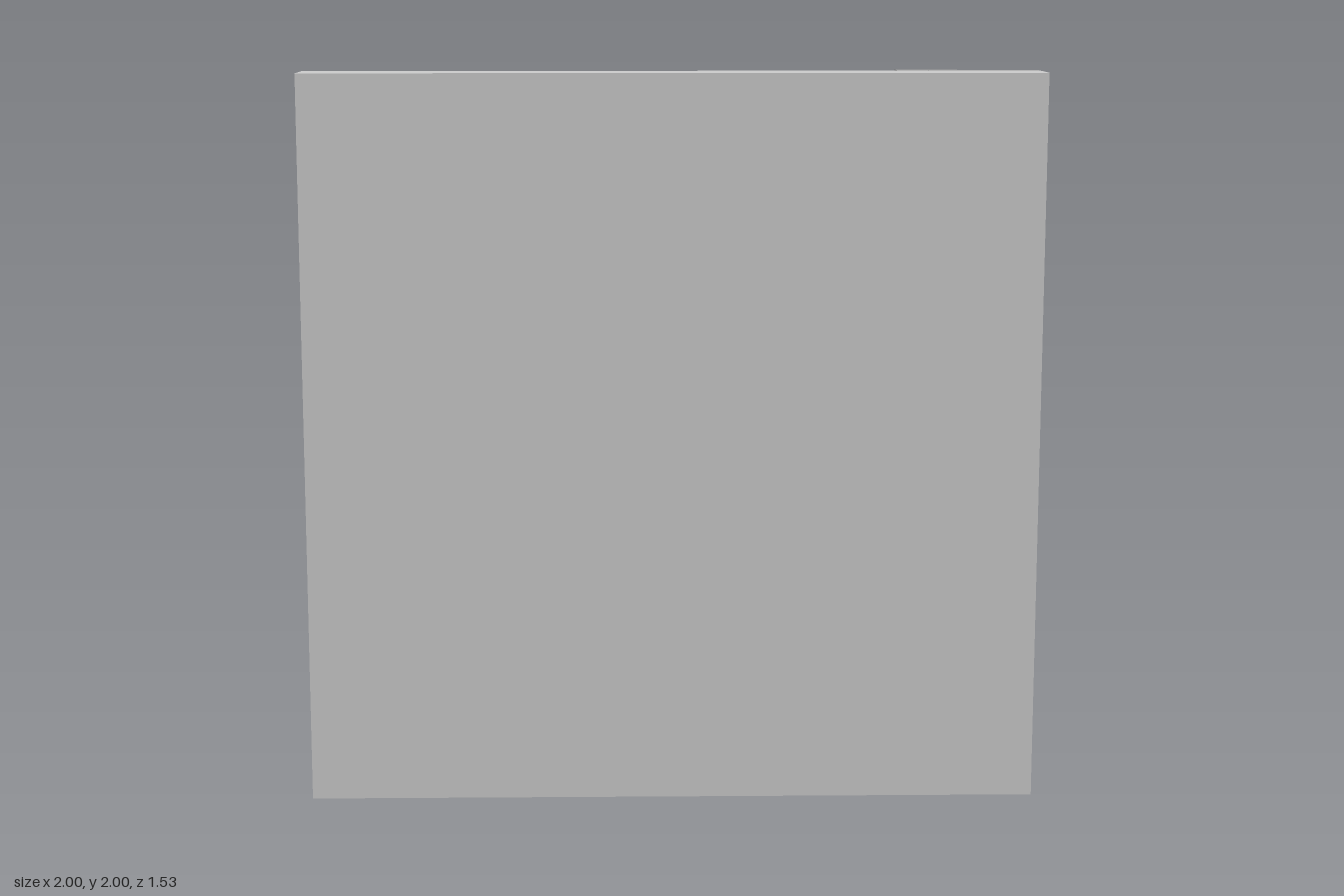
import * as THREE from 'three';

const paint = (color) => new THREE.MeshStandardMaterial({ color });

export function createModel() {
  const model = new THREE.Group();
  const grey = paint(0xcccccc);
  const darkGrey = paint(0x999999);
  const red = paint(0xdc7070);
  const yellow = paint(0xd8c878);
  const black = paint(0x38363c);

  // Box centred on (x, y), spanning zBack to zFront
  const block = (name, material, w, h, x, y, zBack, zFront) => {
    const mesh = new THREE.Mesh(new THREE.BoxGeometry(w, h, zFront - zBack), material);
    mesh.name = name;
    mesh.position.set(x, y, (zBack + zFront) / 2);
    model.add(mesh);
  };

  // Large square panel with stacked target plates on its back
  const panelBack = 0.615;
  block('panel', grey, 2, 2, 0, 1, panelBack, 0.765);
  [
    ['outerPlate', yellow, 1.0, 0.01],
    ['middlePlate', darkGrey, 0.6, 0.016],
    ['centrePlate', black, 0.3, 0.021],
  ].forEach(([name, material, size, depth]) =>
    block(name, material, size, size, 0, 1, panelBack - depth, panelBack));

  // Arm reaching back from a corner bracket
  const armX = 0.85, armY = 1.85;
  block('cornerBracket', darkGrey, 0.3, 0.3, armX, armY, 0.58, panelBack);
  block('arm', red, 0.15, 0.15, armX, armY, -0.645, 0.58);
  block('armCap', darkGrey, 0.2, 0.2, armX, armY, -0.715, -0.645);
  block('capPin', red, 0.06, 0.06, armX, armY, -0.765, -0.715);

  // Side handle, set into the arm
  block('sideHandle', grey, 0.6, 0.07, 0.51, armY, -0.545, -0.475);

  return model;
}
